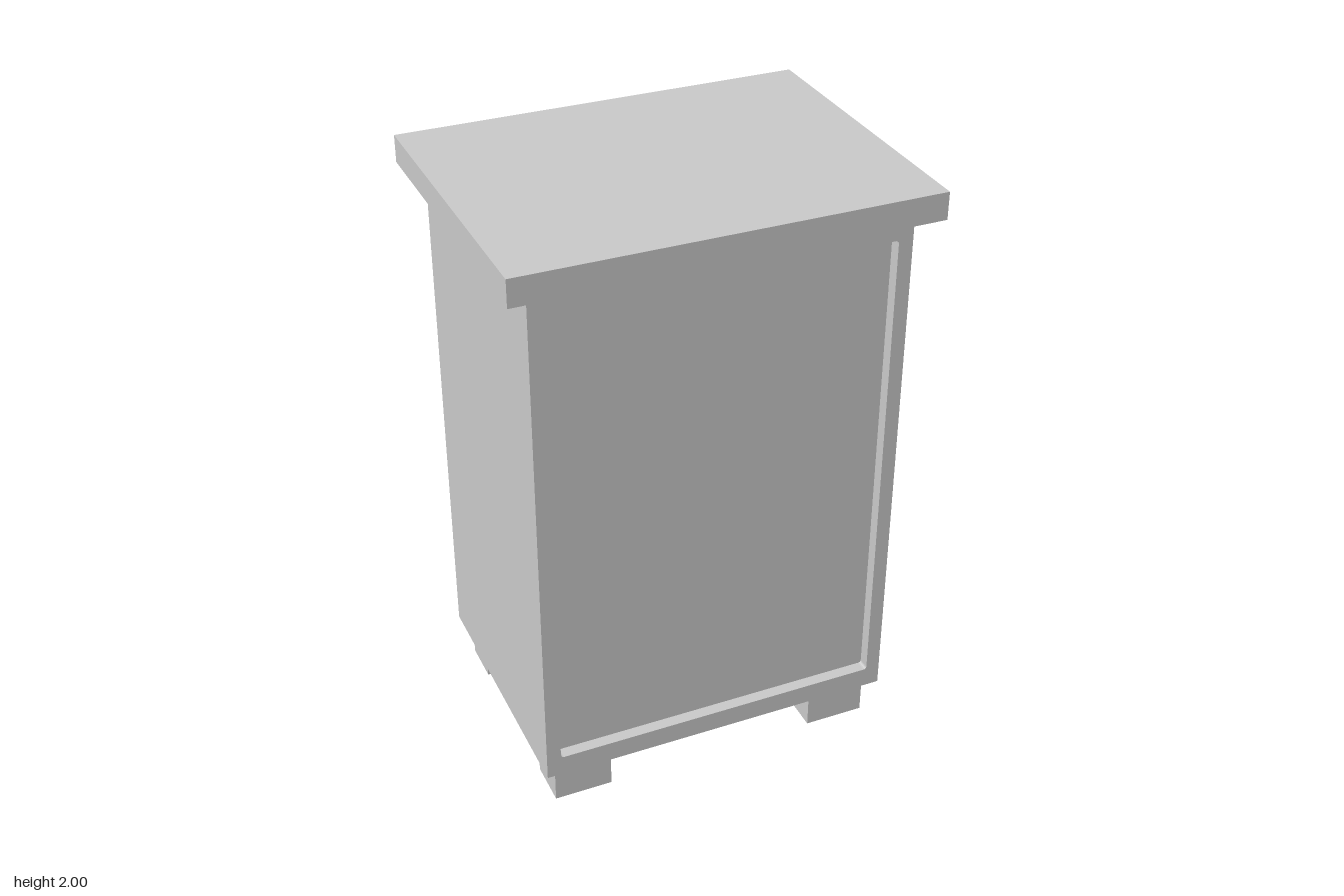
import * as THREE from 'three';

const material = new THREE.MeshStandardMaterial({ color: 0xcccccc, flatShading: true });

// Box given by its minimum and maximum corners
function box(name, [x0, y0, z0], [x1, y1, z1]) {
  const geometry = new THREE.BoxGeometry(x1 - x0, y1 - y0, z1 - z0);
  const mesh = new THREE.Mesh(geometry, material);
  mesh.position.set((x0 + x1) / 2, (y0 + y1) / 2, (z0 + z1) / 2);
  mesh.name = name;
  return mesh;
}

// Rectangle with small rounded corners
function roundedRect(path, x, y0, y1, r) {
  path.moveTo(-x + r, y0);
  path.lineTo(x - r, y0);
  path.quadraticCurveTo(x, y0, x, y0 + r);
  path.lineTo(x, y1 - r);
  path.quadraticCurveTo(x, y1, x - r, y1);
  path.lineTo(-x + r, y1);
  path.quadraticCurveTo(-x, y1, -x, y1 - r);
  path.lineTo(-x, y0 + r);
  path.quadraticCurveTo(-x, y0, -x + r, y0);
  return path;
}

export function createModel() {
  const group = new THREE.Group();
  group.name = 'cabinet';

  const W = 0.606, D = 0.458, BOTTOM = 0.14, TOP = 1.91, RECESS = 0.04;

  // Overhanging top and main body
  group.add(box('top', [-0.68, TOP, -0.517], [0.68, 2, 0.517]));
  group.add(box('body', [-W, BOTTOM, -D], [W, TOP, D - RECESS]));

  // Front frame around the recessed panel
  const outline = new THREE.Shape([
    new THREE.Vector2(-W, BOTTOM), new THREE.Vector2(W, BOTTOM),
    new THREE.Vector2(W, TOP), new THREE.Vector2(-W, TOP),
  ]);
  outline.holes.push(roundedRect(new THREE.Path(), 0.558, 0.21, 1.84, 0.01));
  const frame = new THREE.Mesh(
    new THREE.ExtrudeGeometry(outline, { depth: RECESS, bevelEnabled: false, curveSegments: 4 }),
    material
  );
  frame.position.z = D - RECESS;
  frame.name = 'frontFrame';
  group.add(frame);

  // Four block feet
  for (const [side, x0, x1] of [['Right', -0.567, -0.37], ['Left', 0.362, 0.567]]) {
    for (const [end, z0, z1] of [['front', 0.264, 0.418], ['back', -0.418, -0.27]]) {
      group.add(box(`${end}${side}Foot`, [x0, 0, z0], [x1, BOTTOM, z1]));
    }
  }

  return group;
}
